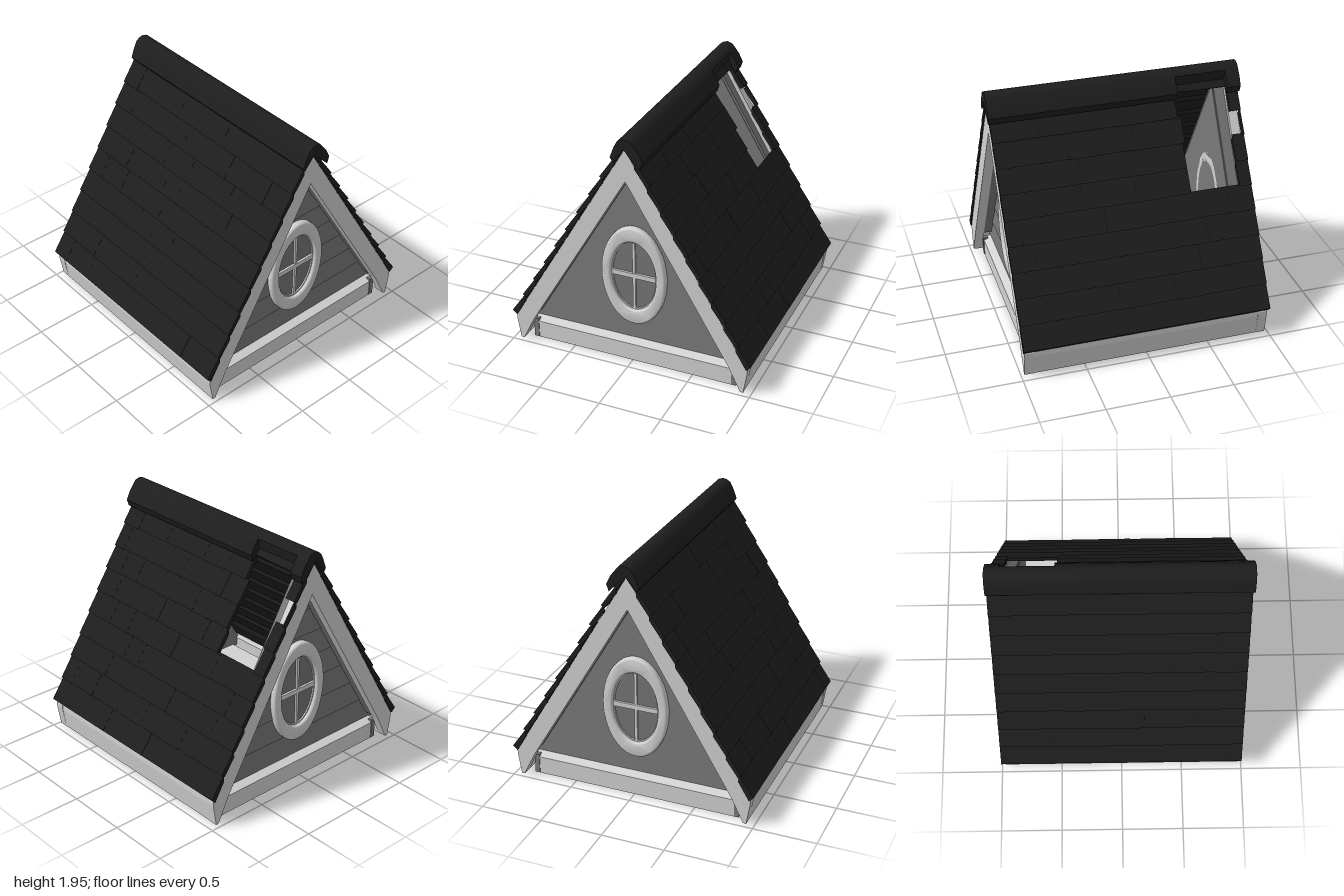
import * as THREE from 'three';
import { mergeGeometries, toCreasedNormals } from 'three/addons/utils/BufferGeometryUtils.js';

const mat = (name, color) => {
  const m = new THREE.MeshStandardMaterial({ color });
  m.name = name;
  return m;
};

// Solid with a cross-section given as [z, y] points, running from x0 to x1
function extrudeX(points, x0, x1) {
  const shape = new THREE.Shape(points.map(([z, y]) => new THREE.Vector2(-z, y)));
  const g = new THREE.ExtrudeGeometry(shape, { depth: x1 - x0, bevelEnabled: false });
  return g.rotateY(Math.PI / 2).translate(x0, 0, 0);
}

// Plate with an outline given as [x, y] points, between z0 and z1
function plate(points, z0, z1) {
  const shape = new THREE.Shape(points.map(([x, y]) => new THREE.Vector2(x, y)));
  return new THREE.ExtrudeGeometry(shape, { depth: z1 - z0, bevelEnabled: false }).translate(0, 0, z0);
}

function seeded(seed) {
  return () => (seed = (seed * 16807) % 2147483647) / 2147483647;
}

export function createModel() {
  const model = new THREE.Group();
  model.name = 'atticHouse';
  const roofMat = mat('charcoalShingle', 0x1e1e1e);
  const trimMat = mat('paleTrim', 0xd2d2d2);
  const wallMat = mat('greySiding', 0x797979);
  const glassMat = mat('greyGlass', 0x767676);

  const add = (parent, name, geometry, material) => {
    const mesh = new THREE.Mesh(geometry, material);
    mesh.name = name;
    parent.add(mesh);
    return mesh;
  };

  // Shingled roof: ten overlapping rows on each slope
  const ROWS = 10, SLOPE = 1.69;
  const len = Math.hypot(1, SLOPE), rowLen = len / ROWS;
  const up = [-1 / len, SLOPE / len], out = [SLOPE / len, 1 / len];
  const rand = seeded(41);
  // Broken opening in the back slope: row -> x range left empty
  const hole = { 5: [-0.89, -0.49], 6: [-0.89, -0.485], 7: [-0.975, -0.5], 8: [-0.9, -0.47] };

  function shingleRow(side, row, x0, x1, list) {
    let x = x0;
    while (x < x1 - 0.001) {
      let end = x + 0.16 + rand() * 0.12;
      if (end > x1 - 0.08) end = x1;
      const lift = -rand() * 0.003;
      const s0 = row ? row * rowLen - rand() * 0.006 : 0;
      const s1 = (row + 1) * rowLen + (row < ROWS - 1 ? 0.012 : 0);
      const at = (s, n) => [side * (1 + up[0] * s + out[0] * n), 0.26 + up[1] * s + out[1] * n];
      // The lowest row has a deeper drip edge
      const foot = row ? at(s0, -0.036) : at(-0.012, -0.05);
      list.push(extrudeX([at(s0, lift), at(s1, -0.016 + lift), at(s1 - 0.05, -0.05), foot], x, end));
      x = end;
    }
  }

  for (const side of [1, -1]) {
    const pieces = [];
    for (let row = 0; row < ROWS; row++) {
      const gap = side < 0 && hole[row];
      if (gap) {
        shingleRow(side, row, -0.99, gap[0], pieces);
        shingleRow(side, row, gap[1], 0.985, pieces);
      } else shingleRow(side, row, -0.99, 0.985, pieces);
    }
    add(model, side > 0 ? 'frontRoofSlope' : 'backRoofSlope', mergeGeometries(pieces), roofMat);
  }

  // Rounded ridge cap, with its back flank broken away above the opening
  const capFront = [
    [0.09, 1.765], [0.105, 1.79], [0.075, 1.87], [0.05, 1.92], [0.02, 1.942],
    [-0.015, 1.95], [-0.055, 1.937], [-0.08, 1.905],
  ];
  const capFull = [...capFront, [-0.115, 1.86], [-0.15, 1.79], [-0.13, 1.735], [0, 1.87]];
  const capCut = [...capFront, [-0.065, 1.82], [0, 1.87]];
  add(model, 'ridgeCap', toCreasedNormals(mergeGeometries([
    extrudeX(capFull, -1, -0.89),
    extrudeX(capCut, -0.89, -0.48),
    extrudeX(capFull, -0.48, 1),
  ]), 0.8), roofMat);

  // Eave boards under the lower roof edges
  for (const s of [1, -1]) {
    add(model, s > 0 ? 'frontEaveBoard' : 'backEaveBoard', extrudeX([
      [s * 0.965, 0.23], [s * 0.965, 0.18], [s * 0.94, 0.012], [s * 0.915, 0.012], [s * 0.9, 0.23],
    ], -0.965, 0.965), trimMat);
  }

  // Floor slab with sloping ledges at the ends
  add(model, 'floorSlab', plate([
    [-0.9, 0], [0.9, 0], [0.9, 0.145], [0.83, 0.175], [-0.83, 0.175], [-0.9, 0.145],
  ], -0.855, 0.855), trimMat);

  // Gable end, built facing +z and turned to each end
  function gable(name, turn) {
    const g = new THREE.Group();
    g.name = name;
    g.rotation.y = turn;
    model.add(g);

    // Lapped siding boards, each leaning out at its lower edge
    const boards = [];
    const half = (y) => (1.76 - y) / SLOPE;
    for (let y = 0.16; y < 1.7; y += 0.205) {
      const top = Math.min(y + 0.205, 1.74);
      const b = plate([[-half(y), y], [half(y), y], [half(top), top], [-half(top), top]], 0.815, 0.828);
      const p = b.attributes.position;
      for (let i = 0; i < p.count; i++) {
        if (p.getZ(i) > 0.82 && p.getY(i) < y + 0.01) p.setZ(i, 0.836);
      }
      b.computeVertexNormals();
      boards.push(b);
    }
    add(g, 'siding', mergeGeometries(boards), wallMat);

    // Chevron that follows both roof edges
    const chevron = (apex, inner, right, z0, z1) => {
      const left = right.map(([x, y]) => [-x, y]).reverse();
      return plate([[0, apex], ...right, [0, inner], ...left], z0, z1);
    };
    add(g, 'rakeBoards', chevron(1.86, 1.6,
      [[0.97, 0.22], [0.968, 0.18], [0.94, 0.01], [0.915, 0.015], [0.82, 0.21]], 0.9, 0.975), trimMat);
    add(g, 'rakeBacking', chevron(1.8, 1.61, [[0.92, 0.24], [0.82, 0.22]], 0.82, 0.9), wallMat);

    // Small blocks where the slab meets the rake boards
    for (const s of [1, -1]) {
      add(g, 'cornerBlock', new THREE.BoxGeometry(0.04, 0.165, 0.04), wallMat).position.set(s * 0.838, 0.0875, 0.885);
    }

    // Oval window: rounded surround, inner lip, glass and crossed bars
    const w = new THREE.Group();
    w.name = 'ovalWindow';
    w.position.y = 0.74;
    g.add(w);
    const ring = (rx, ry, hx, hy, depth, bevel) => {
      const shape = new THREE.Shape().absellipse(0, 0, rx - bevel, ry - bevel, 0, Math.PI * 2);
      shape.holes.push(new THREE.Path().absellipse(0, 0, hx + bevel, hy + bevel, 0, Math.PI * 2));
      return toCreasedNormals(new THREE.ExtrudeGeometry(shape, {
        depth, bevelEnabled: bevel > 0, bevelSize: bevel, bevelThickness: bevel, bevelSegments: 4, curveSegments: 24,
      }), 0.7);
    };
    add(w, 'windowSurround', ring(0.265, 0.42, 0.187, 0.298, 0.025, 0.02), trimMat).position.z = 0.835;
    add(w, 'windowLip', ring(0.2, 0.31, 0.178, 0.287, 0.016, 0), trimMat).position.z = 0.836;
    const glass = new THREE.Shape().absellipse(0, 0, 0.2, 0.31, 0, Math.PI * 2);
    add(w, 'glass', new THREE.ExtrudeGeometry(glass, { depth: 0.006, bevelEnabled: false, curveSegments: 24 }), glassMat).position.z = 0.834;
    add(w, 'uprightBar', new THREE.BoxGeometry(0.022, 0.57, 0.02), trimMat).position.z = 0.846;
    add(w, 'crossBar', new THREE.BoxGeometry(0.36, 0.04, 0.024), trimMat).position.z = 0.846;
  }
  gable('leftGable', Math.PI / 2);
  gable('rightGable', -Math.PI / 2);

  return model;
}
